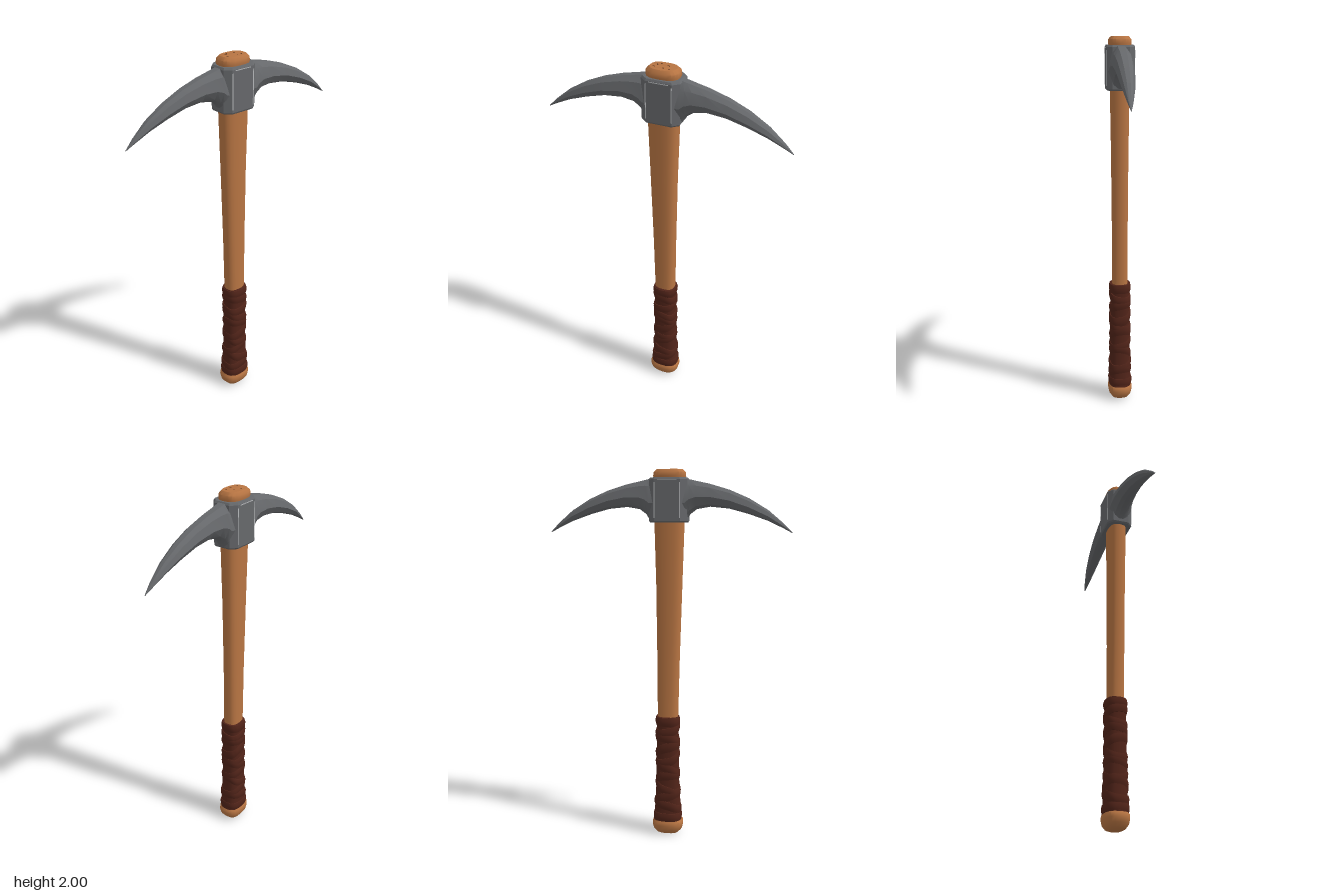
import * as THREE from 'three';
import { toCreasedNormals } from 'three/addons/utils/BufferGeometryUtils.js';

const material = (name, color) => {
  const m = new THREE.MeshStandardMaterial({ color });
  m.name = name;
  return m;
};

// Skins a list of equal-sized rings, each counterclockwise seen from the far end.
function loft(rings, crease, closed = false) {
  const n = rings[0].length;
  const pos = rings.flat(2);
  const index = [];
  const last = closed ? rings.length : rings.length - 1;
  for (let i = 0; i < last; i++) {
    const a = i * n, b = ((i + 1) % rings.length) * n;
    for (let j = 0; j < n; j++) {
      const k = (j + 1) % n;
      index.push(a + j, a + k, b + k, a + j, b + k, b + j);
    }
  }
  if (!closed) {
    const end = (rings.length - 1) * n;
    for (let j = 1; j < n - 1; j++) {
      index.push(0, j + 1, j, end, end + j, end + j + 1);
    }
  }
  const g = new THREE.BufferGeometry();
  g.setAttribute('position', new THREE.Float32BufferAttribute(pos, 3));
  g.setIndex(index);
  return toCreasedNormals(g, crease);
}

// Point on a rounded-square outline with half sizes rx and rz.
function rounded(t, rx, rz, power = 0.75) {
  const c = Math.cos(t), s = Math.sin(t);
  return [rx * Math.sign(c) * Math.abs(c) ** power, -rz * Math.sign(s) * Math.abs(s) ** power];
}

// Upright ring: centre x, height, half width, half depth.
function ring([cx, y, rx, rz], n = 20) {
  return Array.from({ length: n }, (_, j) => {
    const [x, z] = rounded((j / n) * Math.PI * 2, rx, rz);
    return [cx + x, y, z];
  });
}

export function createModel() {
  const model = new THREE.Group();
  model.name = 'pickaxe';
  const wood = material('wood', 0xb87543);
  const iron = material('iron', 0x66686b);
  const leather = material('leather', 0x512419);
  const wornEdge = material('wornEdge', 0xb4b6b8);
  const grain = material('grain', 0x4a2a17);

  const add = (name, geometry, mat, parent = model) => {
    const mesh = new THREE.Mesh(geometry, mat);
    mesh.name = name;
    parent.add(mesh);
    return mesh;
  };

  // Tapered shaft with a rounded pommel and a domed top
  const shaft = [
    [0.002, 0, 0.035, 0.028], [0.002, 0.008, 0.06, 0.047], [0.002, 0.03, 0.08, 0.062],
    [0.002, 0.055, 0.086, 0.067], [0.002, 0.075, 0.084, 0.066], [0.002, 0.088, 0.072, 0.057],
    [0.002, 0.3, 0.058, 0.05], [0.002, 0.68, 0.056, 0.043], [-0.001, 1.0, 0.061, 0.043],
    [-0.005, 1.4, 0.07, 0.046], [-0.006, 1.74, 0.08, 0.051], [-0.007, 1.95, 0.082, 0.056],
    [-0.007, 1.965, 0.086, 0.061], [-0.007, 1.985, 0.084, 0.06], [-0.007, 2, 0.068, 0.047],
  ];
  add('handle', loft(shaft.map((s) => ring(s)), 0.75), wood);

  // Leather sleeve
  const sleeve = [
    [0.003, 0.08, 0.078, 0.061], [0.003, 0.16, 0.071, 0.058], [0.003, 0.3, 0.063, 0.055],
    [0.003, 0.5, 0.06, 0.053], [0.003, 0.68, 0.059, 0.051],
  ];
  const grip = new THREE.Group();
  grip.name = 'grip';
  model.add(grip);
  add('gripSleeve', loft(sleeve.map((s) => ring(s)), 0.75), leather, grip);

  // Overlapping straps wound at varied slants
  function strap(y, height, tiltX, tiltZ) {
    const steps = 28;
    const rings = [];
    for (let i = 0; i < steps; i++) {
      const t = (i / steps) * Math.PI * 2;
      const mid = y + tiltX * Math.cos(t) + tiltZ * Math.sin(t);
      const flare = 0.018 * Math.max(0, 1 - mid / 0.32);
      const section = [[-0.006, -0.5], [-0.006, 0.5], [0.003, 0.46], [0.007, 0.15], [0.006, -0.2], [0.002, -0.5]];
      rings.push(section.map(([out, v]) => {
        const [x, z] = rounded(t, 0.06 + flare + out, 0.053 + flare * 0.5 + out);
        return [0.003 + x, mid + v * height, z];
      }));
    }
    return loft(rings, 0.6, true);
  }
  const straps = [
    [0.105, 0.05, 0.002, 0], [0.165, 0.05, 0.022, 0.01], [0.215, 0.055, -0.028, 0.012],
    [0.275, 0.05, 0.03, -0.012], [0.33, 0.05, -0.012, 0.018], [0.385, 0.055, 0.032, 0.008],
    [0.44, 0.05, -0.02, -0.014], [0.495, 0.055, -0.026, 0.014], [0.55, 0.05, 0.014, 0.014],
    [0.605, 0.05, -0.016, -0.01], [0.655, 0.05, 0.002, 0],
  ];
  straps.forEach((s, i) => add('gripStrap' + (i + 1), strap(...s), leather, grip));

  // Two curved spikes: distance out, top, bottom, half depth
  const stations = [
    [0.06, 1.955, 1.735, 0.066], [0.095, 1.952, 1.74, 0.064], [0.115, 1.948, 1.772, 0.061],
    [0.15, 1.94, 1.798, 0.057], [0.22, 1.925, 1.81, 0.053], [0.32, 1.895, 1.8, 0.047],
    [0.42, 1.852, 1.773, 0.04], [0.52, 1.792, 1.738, 0.029], [0.6, 1.725, 1.7, 0.014],
    [0.645, 1.68, 1.676, 0.002],
  ];
  const half = [[1, 0.3], [0.82, 0.75], [0.42, 1], [0.1, 0.6], [0, 0.2]];
  const outline = [...half, ...half.map(([v, w]) => [v, -w]).reverse()];
  const head = new THREE.Group();
  head.name = 'head';
  model.add(head);
  const spike = loft(stations.map(([x, top, bottom, depth]) =>
    outline.map(([v, w]) => [x, bottom + v * (top - bottom), w * depth])), 0.5);
  add('leftSpike', spike, iron, head);
  add('rightSpike', spike, iron, head).rotation.y = Math.PI;

  // Chamfered collar around the shaft
  const corners = [[0.1, -0.045], [0.068, -0.073], [-0.068, -0.073], [-0.1, -0.045],
    [-0.1, 0.045], [-0.068, 0.073], [0.068, 0.073], [0.1, 0.045]];
  const collar = [[1.73, 0.94], [1.738, 1], [1.948, 1], [1.958, 0.93]].map(([y, s]) =>
    corners.map(([x, z]) => [x * s - 0.005, y, z * s]));
  add('collar', loft(collar, 0.4), iron, head);

  // Worn bright edges on the collar faces
  for (const side of [-1, 1]) {
    for (const x of [-0.066, 0.066]) {
      add('wornCorner', new THREE.BoxGeometry(0.005, 0.18, 0.003), wornEdge, head)
        .position.set(x - 0.005, 1.843, side * 0.0725);
    }
    add('wornRim', new THREE.BoxGeometry(0.1, 0.004, 0.003), wornEdge, head)
      .position.set(-0.005, 1.944, side * 0.0725);
  }

  // Small dark nicks in the end grain
  const nicks = [[-0.045, 0.015], [-0.02, -0.025], [0.005, 0.02], [0.02, -0.012], [0.036, 0.022], [-0.035, -0.01]];
  nicks.forEach(([x, z], i) => {
    const nick = add('grainNick', new THREE.BoxGeometry(0.011, 0.003, 0.005), grain);
    nick.position.set(x - 0.007, 2 - 0.001, z);
    nick.rotation.y = i * 1.1;
  });

  return model;
}
